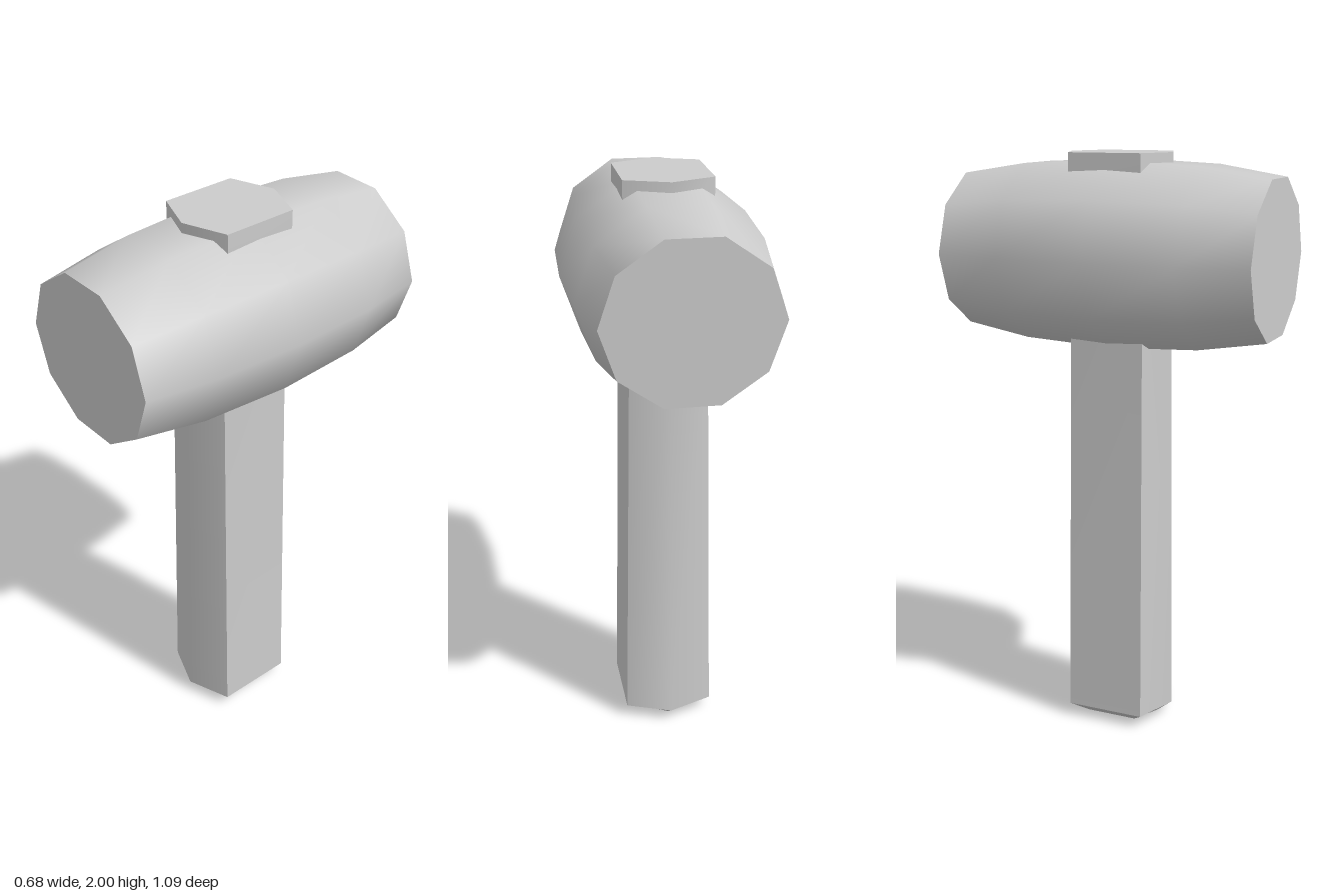
import * as THREE from 'three';
import { toCreasedNormals } from 'three/addons/utils/BufferGeometryUtils.js';

const CREASE = THREE.MathUtils.degToRad(45);

// Closed hexagonal prism lofted through rows of [y, half width, corner z, tip z]
function hexLoft(rows) {
  const positions = [];
  const rings = rows.map(([y, w, c, t]) =>
    [[w, c], [w, -c], [0, -t], [-w, -c], [-w, c], [0, t]].map(([x, z]) => [x, y, z]));
  const tri = (a, b, c) => positions.push(...a, ...b, ...c);
  for (let r = 0; r < rings.length - 1; r++) {
    for (let i = 0; i < 6; i++) {
      const j = (i + 1) % 6;
      const lower = rings[r], upper = rings[r + 1];
      tri(lower[i], lower[j], upper[j]);
      tri(lower[i], upper[j], upper[i]);
    }
  }
  // End caps
  const bottom = rings[0], top = rings[rings.length - 1];
  for (let i = 1; i < 5; i++) {
    tri(bottom[0], bottom[i + 1], bottom[i]);
    tri(top[0], top[i], top[i + 1]);
  }
  const geometry = new THREE.BufferGeometry();
  geometry.setAttribute('position', new THREE.Float32BufferAttribute(positions, 3));
  return toCreasedNormals(geometry, CREASE);
}

export function createModel() {
  const grey = new THREE.MeshStandardMaterial({ color: 0xcccccc });
  grey.name = 'plain grey';
  const mallet = new THREE.Group();
  mallet.name = 'mallet';

  // Ten-sided barrel head lying along z, slightly squashed in height
  const profile = [[0, -0.543], [0.283, -0.543], [0.323, -0.31], [0.338, 0],
    [0.323, 0.31], [0.283, 0.543], [0, 0.543]].map(([r, y]) => new THREE.Vector2(r, y));
  const headGeometry = new THREE.LatheGeometry(profile, 10, Math.PI / 2);
  headGeometry.rotateX(Math.PI / 2);
  headGeometry.scale(1, 0.955, 1);
  const head = new THREE.Mesh(toCreasedNormals(headGeometry, CREASE), grey);
  head.name = 'head';
  head.position.y = 1.668;
  mallet.add(head);

  // Handle with a bevelled foot, passing through the head and out of the top
  const handle = new THREE.Mesh(hexLoft([
    [0, 0.095, 0.09, 0.14],
    [0.045, 0.155, 0.138, 0.197],
    [1.4, 0.132, 0.129, 0.183],
    [1.9, 0.146, 0.127, 0.182],
    [2, 0.146, 0.127, 0.182],
  ]), grey);
  handle.name = 'handle';
  mallet.add(handle);

  return mallet;
}
